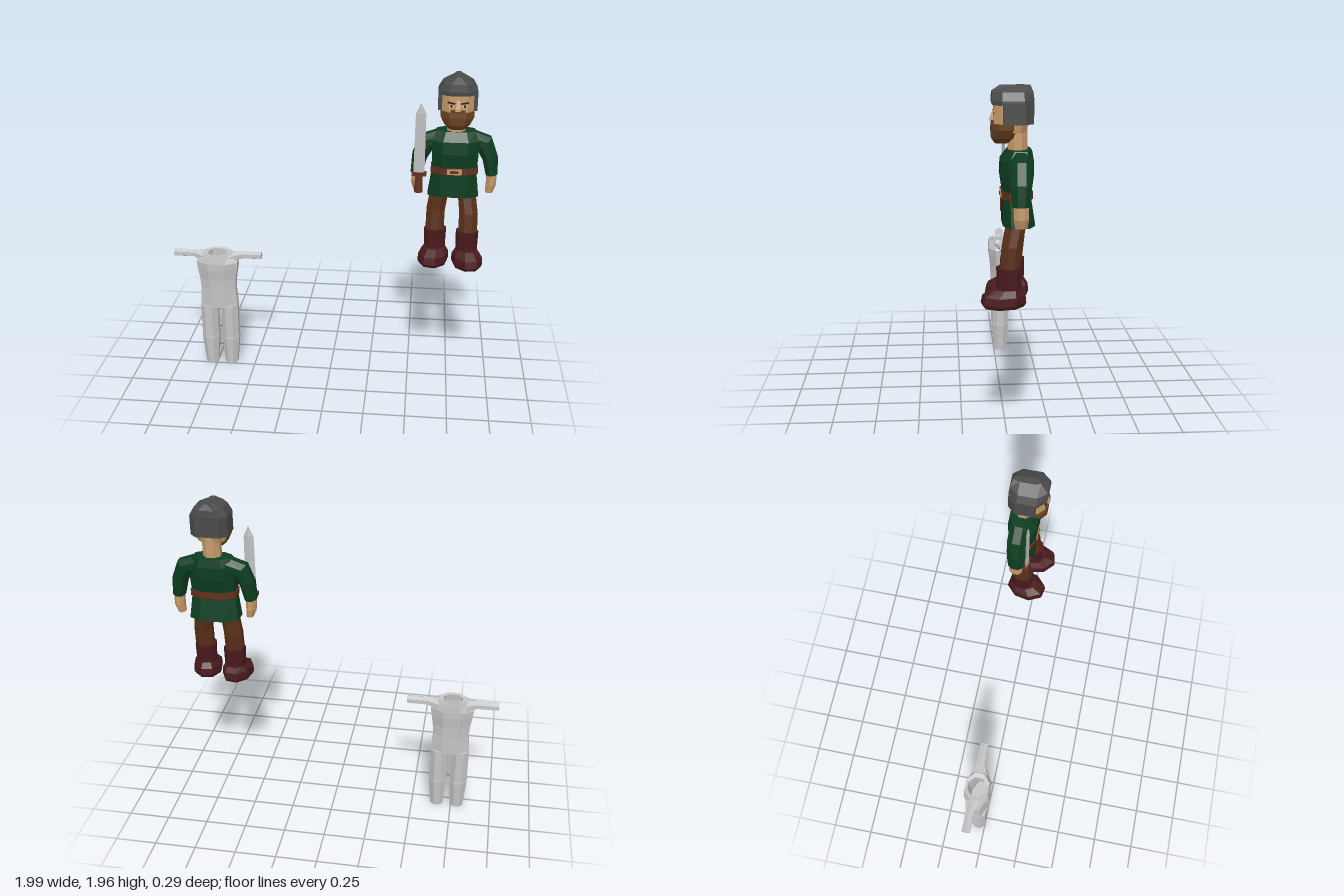
import * as THREE from 'three';

const mat = (name, color, extra = {}) => Object.assign(new THREE.MeshStandardMaterial({ color, ...extra }), { name });
const M = {
  steel: mat('helmet grey', 0x4b4b4b),
  skin: mat('skin', 0xc79b6b),
  beard: mat('beard brown', 0x68401f),
  tunic: mat('tunic green', 0x0c3d20),
  leather: mat('belt leather', 0x63301b),
  trousers: mat('trouser brown', 0x5c3018),
  boots: mat('boot maroon', 0x4a1a1d),
  blade: mat('blade silver', 0xbfc2c0),
  dark: mat('eye dark', 0x2a1a12),
  dummy: mat('plain grey', 0xc6c6c6, { side: THREE.DoubleSide }),
};

// Faceted body through rings [x, y, z, halfWidth, halfDepth, tilt], listed along the upward axis.
// square < 1 makes the section boxier; phase 0 puts a corner at the front.
function loft(name, material, rings, { n = 8, square = 1, phase = 0.5, open = false } = {}) {
  const k = phase ? 1 / Math.cos(Math.PI / n) : 1;
  const bend = v => Math.sign(v) * Math.abs(v) ** square;
  const pts = rings.map(([x, y, z, w, d, tilt = 0]) => Array.from({ length: n }, (_, i) => {
    const a = (i + phase) / n * Math.PI * 2;
    const px = bend(Math.sin(a) * k) * w, pz = bend(Math.cos(a) * k) * d;
    return [x + Math.cos(tilt) * px, y + Math.sin(tilt) * px, z + pz];
  }));
  const out = [];
  const tri = (...p) => p.forEach(q => out.push(...q));
  for (let j = 0; j < pts.length - 1; j++) {
    for (let i = 0; i < n; i++) {
      const m = (i + 1) % n, [a, b, c, d] = [pts[j][i], pts[j][m], pts[j + 1][m], pts[j + 1][i]];
      tri(a, b, c);
      tri(a, c, d);
    }
  }
  const last = pts[pts.length - 1];
  for (let i = 1; i < n - 1; i++) {
    tri(pts[0][0], pts[0][i + 1], pts[0][i]);
    if (!open) tri(last[0], last[i], last[i + 1]);
  }
  const g = new THREE.BufferGeometry();
  g.setAttribute('position', new THREE.Float32BufferAttribute(out, 3));
  g.computeVertexNormals();
  const mesh = new THREE.Mesh(g, material);
  mesh.name = name;
  return mesh;
}

function box(name, material, [w, h, d], [x, y, z], roll = 0) {
  const mesh = new THREE.Mesh(new THREE.BoxGeometry(w, h, d), material);
  mesh.name = name;
  mesh.position.set(x, y, z);
  mesh.rotation.z = roll;
  return mesh;
}

function makeHead() {
  const head = new THREE.Group();
  head.name = 'head';
  head.add(
    loft('neck', M.skin, [[0, 1.59, -0.05, 0.052, 0.05], [0, 1.78, -0.05, 0.052, 0.05]]),
    loft('face', M.skin, [
      [0, 1.72, -0.01, 0.08, 0.08], [0, 1.77, -0.015, 0.09, 0.09], [0, 1.89, -0.015, 0.09, 0.09],
    ], { square: 0.6 }),
    loft('beard', M.beard, [
      [0, 1.662, 0.035, 0.042, 0.035], [0, 1.69, 0.027, 0.072, 0.061],
      [0, 1.735, 0.02, 0.095, 0.07], [0, 1.765, 0.017, 0.096, 0.07],
    ], { square: 0.75 }),
    box('moustache', M.beard, [0.085, 0.02, 0.014], [0, 1.77, 0.08]),
    loft('nose', M.skin, [[0, 1.775, 0.075, 0.016, 0.02], [0, 1.79, 0.075, 0.014, 0.018], [0, 1.835, 0.073, 0.007, 0.006]], { n: 4 }),
    // Helmet crown with a narrow ridge on top
    loft('helmetCrown', M.steel, [
      [0, 1.862, -0.022, 0.112, 0.106], [0, 1.885, -0.022, 0.11, 0.11],
      [0, 1.927, -0.022, 0.085, 0.106], [0, 1.96, -0.037, 0.02, 0.078],
    ], { square: 0.75 }),
  );
  for (const s of [1, -1]) {
    head.add(
      box('eyeWhite', M.blade, [0.03, 0.013, 0.005], [s * 0.038, 1.803, 0.075]),
      box('pupil', M.dark, [0.012, 0.013, 0.005], [s * 0.038, 1.803, 0.077]),
      box('eyebrow', M.dark, [0.042, 0.009, 0.006], [s * 0.038, 1.82, 0.076], s * 0.18),
    );
  }
  // Helmet guard round the sides and back, open over the face and below
  const u = [[0.112, -0.03], [0.112, 0.085], [0.072, 0.13], [-0.072, 0.13], [-0.112, 0.085], [-0.112, -0.03],
    [-0.09, -0.03], [-0.09, 0.075], [-0.062, 0.112], [0.062, 0.112], [0.09, 0.075], [0.09, -0.03]];
  const g = new THREE.ExtrudeGeometry(new THREE.Shape(u.map(p => new THREE.Vector2(...p))), { depth: 0.11, bevelEnabled: false });
  g.rotateX(-Math.PI / 2).translate(0, 1.765, 0);
  const guard = new THREE.Mesh(g, M.steel);
  guard.name = 'helmetGuard';
  head.add(guard);
  return head;
}

function makeSword() {
  const sword = new THREE.Group();
  sword.name = 'sword';
  sword.add(
    loft('blade', M.blade, [
      [0, 1.375, 0, 0.033, 0.011], [0, 1.735, 0, 0.03, 0.01], [0, 1.797, 0, 0.002, 0.002],
    ], { n: 4, phase: 0 }),
    box('guard', M.leather, [0.088, 0.02, 0.036], [0, 1.37, 0]),
    loft('grip', M.leather, [[0, 1.255, 0, 0.026, 0.018], [0, 1.365, 0, 0.021, 0.016]]),
  );
  sword.position.set(-0.207, 0, 0.01);
  return sword;
}

function makeFigure() {
  const fig = new THREE.Group();
  fig.name = 'swordsman';
  fig.add(
    loft('tunic', M.tunic, [
      [0, 1.232, -0.055, 0.15, 0.085], [0, 1.37, -0.045, 0.132, 0.074], [0, 1.42, -0.045, 0.132, 0.076],
      [0, 1.5, -0.044, 0.136, 0.087], [0, 1.575, -0.046, 0.136, 0.085], [0, 1.628, -0.06, 0.11, 0.062],
    ], { square: 0.7 }),
    loft('belt', M.leather, [[0, 1.375, -0.045, 0.138, 0.081], [0, 1.415, -0.045, 0.138, 0.082]], { square: 0.7 }),
    box('buckle', M.skin, [0.086, 0.034, 0.009], [0, 1.395, 0.037]),
    box('buckleCentre', M.leather, [0.05, 0.016, 0.009], [0, 1.395, 0.04]),
    makeHead(),
    makeSword(),
  );
  for (const s of [1, -1]) {
    const step = s > 0 ? 0.03 : 0;
    fig.add(
      loft('sleeve', M.tunic, [
        [s * 0.222, 1.362, -0.053, 0.035, 0.045, s * 0.1], [s * 0.207, 1.465, -0.055, 0.045, 0.053, s * 0.25],
        [s * 0.168, 1.552, -0.058, 0.054, 0.056, s * 0.75], [s * 0.09, 1.575, -0.06, 0.053, 0.056, s * 1.4],
      ]),
      loft('hand', M.skin, [
        [s * 0.212, 1.25, -0.054, 0.022, 0.03], [s * 0.222, 1.3, -0.054, 0.029, 0.039], [s * 0.222, 1.385, -0.053, 0.03, 0.038],
      ]),
      loft('trouserLeg', M.trousers, [
        [s * 0.1, 0.98, step - 0.03, 0.055, 0.05], [s * 0.098, 1.13, step - 0.045, 0.055, 0.051],
        [s * 0.078, 1.27, -0.045, 0.053, 0.052],
      ]),
    );
    // Boots turned slightly outward
    const boot = new THREE.Group();
    boot.name = 'boot';
    boot.add(
      loft('bootShaft', M.boots, [[0, 0.875, -0.03, 0.06, 0.062], [0, 1.016, -0.03, 0.063, 0.063]]),
      loft('bootFoot', M.boots, [
        [0, 0.802, 0, 0.078, 0.105], [0, 0.822, 0, 0.086, 0.116],
        [0, 0.865, -0.002, 0.083, 0.11], [0, 0.9, -0.02, 0.06, 0.072],
      ]),
    );
    boot.position.set(s * 0.102, 0, step - 0.002);
    boot.rotation.y = s * 0.2;
    fig.add(boot);
  }
  fig.position.x = 0.735;
  return fig;
}

// Headless plain body with outstretched arms and an open neck
function makeDummy() {
  const body = new THREE.Group();
  body.name = 'plainBody';
  body.add(loft('bodyTorso', M.dummy, [
    [0, 0.41, -0.043, 0.12, 0.057], [0, 0.54, -0.043, 0.11, 0.061], [0, 0.61, -0.043, 0.115, 0.065],
    [0, 0.68, -0.043, 0.126, 0.075], [0, 0.725, -0.043, 0.131, 0.077], [0, 0.785, -0.046, 0.085, 0.072],
    [0, 0.78, -0.046, 0.058, 0.056],
  ], { open: true }));
  for (const s of [1, -1]) {
    body.add(
      loft('bodyLeg', M.dummy, [
        [s * 0.064, 0, -0.043, 0.04, 0.042], [s * 0.066, 0.185, -0.043, 0.054, 0.055],
        [s * 0.066, 0.2, -0.043, 0.053, 0.053], [s * 0.066, 0.42, -0.043, 0.054, 0.057],
      ]),
      loft('bodyArm', M.dummy, [
        [s * 0.279, 0.762, -0.058, 0.022, 0.025, s * Math.PI / 2], [s * 0.15, 0.762, -0.058, 0.022, 0.026, s * Math.PI / 2],
        [s * 0.085, 0.747, -0.05, 0.033, 0.05, s * Math.PI / 2],
      ], { n: 6 }),
    );
  }
  body.position.x = -0.722;
  return body;
}

export function createModel() {
  const model = new THREE.Group();
  model.name = 'model';
  model.add(makeFigure(), makeDummy());
  return model;
}
